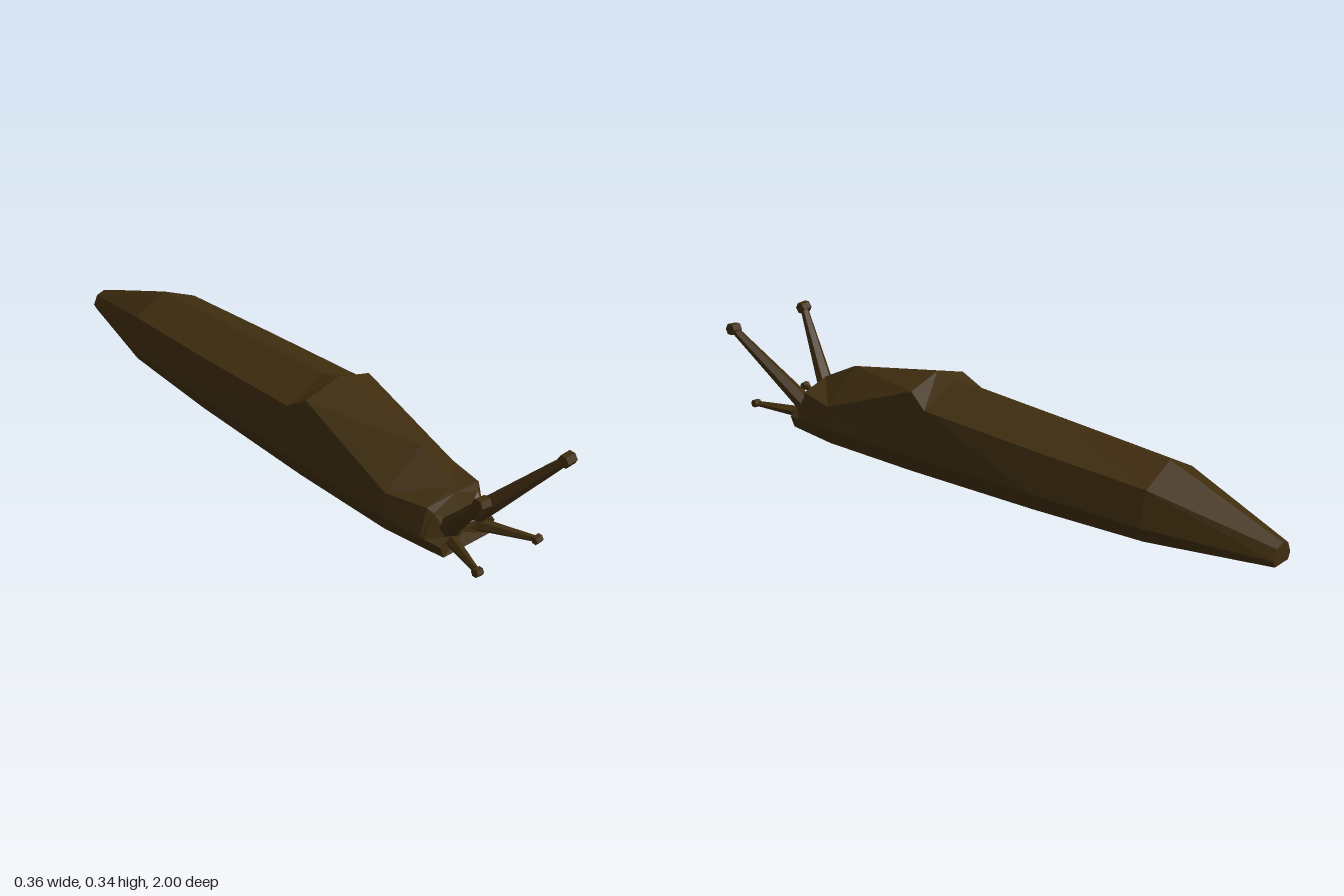
import * as THREE from 'three';

// Faceted normals: every triangle gets its own corners
function faceted(geometry) {
  const g = geometry.index ? geometry.toNonIndexed() : geometry;
  g.computeVertexNormals();
  return g;
}

// Body cross-sections from tail to head:
// [z, footHalf, sideHalf, sideY, shoulderHalf, shoulderY, topY, topZ]
const SECTIONS = [
  [-1.0, 0.035, 0.045, 0.02, 0.03, 0.053, 0.063, -1.0],
  [-0.63, 0.12, 0.145, 0.05, 0.117, 0.155, 0.21, -0.63],
  [-0.25, 0.136, 0.16, 0.058, 0.13, 0.18, 0.235, -0.25],
  [0.17, 0.137, 0.161, 0.06, 0.137, 0.21, 0.27, 0.17],
  [0.235, 0.137, 0.16, 0.06, 0.122, 0.254, 0.288, 0.235],
  [0.59, 0.125, 0.147, 0.054, 0.13, 0.125, 0.23, 0.59],
  [0.725, 0.102, 0.122, 0.047, 0.1, 0.136, 0.165, 0.725],
  [0.738, 0.1, 0.119, 0.046, 0.085, 0.118, 0.146, 0.732],
  [0.79, 0.09, 0.105, 0.04, 0.07, 0.062, 0.058, 0.768],
];

function bodyGeometry() {
  const points = [];
  const index = [];
  const n = 7;
  for (const [z, foot, side, sideY, shoulder, shoulderY, topY, topZ] of SECTIONS) {
    points.push(
      -foot, 0, z, foot, 0, z, side, sideY, z, shoulder, shoulderY, z,
      0, topY, topZ, -shoulder, shoulderY, z, -side, sideY, z,
    );
  }
  for (let k = 0; k < SECTIONS.length - 1; k++) {
    for (let i = 0; i < n; i++) {
      const j = (i + 1) % n;
      const a = k * n + i, b = k * n + j, c = b + n, d = a + n;
      // the diagonals mirror across the middle
      if (i < 4) index.push(a, b, c, a, c, d);
      else index.push(a, b, d, b, c, d);
    }
  }
  // Tail end and slightly hollow face
  const last = (SECTIONS.length - 1) * n;
  const tail = points.length / 3;
  points.push(0, 0.03, -1);
  points.push(0, 0.035, 0.772);
  for (let i = 0; i < n; i++) {
    const j = (i + 1) % n;
    index.push(tail, j, i, tail + 1, last + i, last + j);
  }
  const g = new THREE.BufferGeometry();
  g.setAttribute('position', new THREE.Float32BufferAttribute(points, 3));
  g.setIndex(index);
  return faceted(g);
}

// Tapered stalk with a small faceted knob at its tip
function makeStalk(name, side, base, tip, baseRadius, tipRadius, knobRadius, knobWidth, material) {
  const group = new THREE.Group();
  group.name = name;
  const from = new THREE.Vector3(base[0] * side, base[1], base[2]);
  const to = new THREE.Vector3(tip[0] * side, tip[1], tip[2]);
  const direction = to.clone().sub(from);

  const stalk = new THREE.Mesh(
    faceted(new THREE.CylinderGeometry(tipRadius, baseRadius, direction.length(), 6)), material);
  stalk.name = name + 'Stem';
  stalk.position.copy(from).add(to).multiplyScalar(0.5);
  stalk.quaternion.setFromUnitVectors(new THREE.Vector3(0, 1, 0), direction.normalize());

  const knob = new THREE.Mesh(
    faceted(new THREE.CylinderGeometry(knobRadius, knobRadius, knobWidth, 6)), material);
  knob.name = name + 'Knob';
  knob.position.copy(to);
  knob.rotation.z = Math.PI / 2 + side * 0.08;

  group.add(stalk, knob);
  return group;
}

export function createModel() {
  const model = new THREE.Group();
  model.name = 'slug';
  const skin = new THREE.MeshStandardMaterial({ color: 0x3f2d0f });
  skin.name = 'dark brown skin';

  const body = new THREE.Mesh(bodyGeometry(), skin);
  body.name = 'body';
  model.add(body);

  for (const side of [1, -1]) {
    const label = side > 0 ? 'left' : 'right';
    // Long upper eye stalks
    model.add(makeStalk(label + 'EyeStalk', side,
      [0.053, 0.07, 0.765], [0.161, 0.318, 0.981], 0.03, 0.013, 0.02, 0.035, skin));
    // Short lower feelers
    model.add(makeStalk(label + 'Feeler', side,
      [0.05, 0.04, 0.765], [0.115, 0.054, 0.942], 0.021, 0.009, 0.013, 0.024, skin));
  }
  return model;
}
